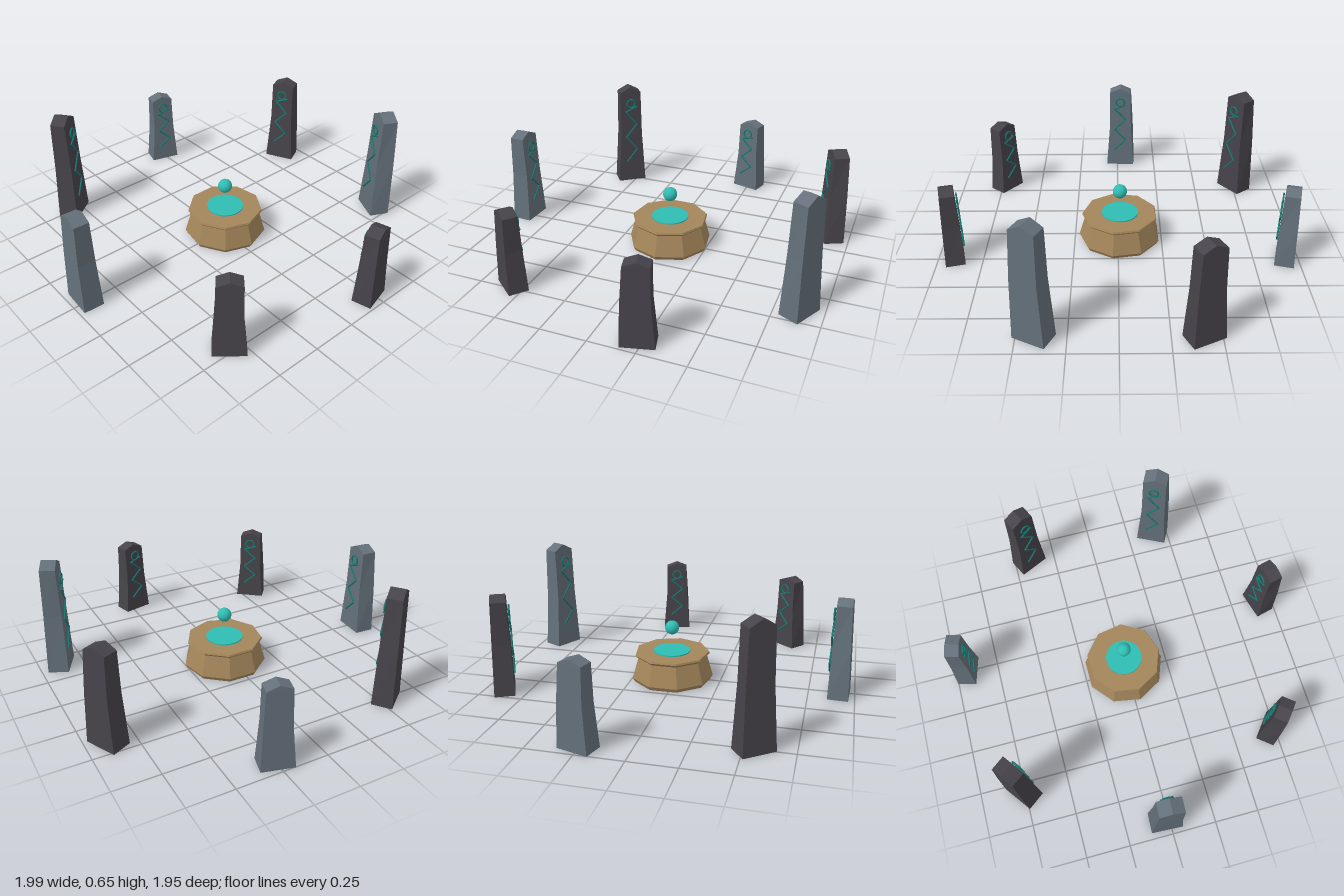
import * as THREE from 'three';

const CX = -0.01, CZ = -0.03, RING = 0.945;
const flat = (color) => new THREE.MeshStandardMaterial({ color, flatShading: true });
const slate = flat(0x64707a), basalt = flat(0x46434a), sandstone = flat(0xa3855a);
const teal = new THREE.MeshStandardMaterial({ color: 0x2fbdb4 });
const darkTeal = new THREE.MeshStandardMaterial({ color: 0x167a72 });

function add(parent, name, geometry, material, x = 0, y = 0, z = 0) {
  const mesh = new THREE.Mesh(geometry, material);
  mesh.name = name;
  mesh.position.set(x, y, z);
  parent.add(mesh);
  return mesh;
}

// Roughly hewn slab: four-cornered sections and a ridge from front to back
function stoneGeometry(h, w, d) {
  const a = w / 2, b = d / 2;
  // corners of each section: inner left, inner right, outer right, outer left
  const section = (y, sx, sz) => [[-1, 1], [1, 1], [1, -1], [-1, -1]]
    .map(([x, z], i) => [x * a * sx[i], y, z * b * sz]);
  const points = [
    ...section(0, [1, 1, 1, 1], 1),
    ...section(h * 0.52, [0.76, 0.79, 0.9, 0.77], 0.87),
    ...section(h * 0.945, [0.75, 0.75, 0.75, 0.75], 0.74),
    [0, h, b * 0.72], [0, h, -b * 0.72],
  ];
  const index = [0, 3, 2, 0, 2, 1];
  for (let k = 0; k < 8; k += 4) {
    for (let i = 0; i < 4; i++) {
      const p = k + i, q = k + (i + 1) % 4;
      index.push(p, q, q + 4, p, q + 4, p + 4);
    }
  }
  // sloping cap
  index.push(8, 9, 12, 9, 10, 13, 9, 13, 12, 10, 11, 13, 11, 8, 12, 11, 12, 13);
  const g = new THREE.BufferGeometry();
  g.setAttribute('position', new THREE.Float32BufferAttribute(points.flat(), 3));
  g.setIndex(index);
  const out = g.toNonIndexed();
  out.computeVertexNormals();
  return out;
}

// Zigzag of thin rods with a ring on top, on the inner face
function addRune(parent, h, d) {
  const rune = new THREE.Group();
  rune.name = 'rune';
  const faceZ = (t) => d * (0.56 - 0.1 * t);
  const path = new THREE.CurvePath();
  const pts = [0.21, 0.345, 0.48, 0.615, 0.75, 0.8].map((t, i) =>
    new THREE.Vector3((i % 2 ? 1 : -1) * 0.036, h * t, faceZ(t)));
  for (let i = 1; i < pts.length; i++) path.add(new THREE.LineCurve3(pts[i - 1], pts[i]));
  for (const c of path.curves) add(rune, 'runeStroke', new THREE.TubeGeometry(c, 1, 0.005, 6), darkTeal);
  for (const p of pts) add(rune, 'runeJoint', new THREE.SphereGeometry(0.005, 6, 4), darkTeal, p.x, p.y, p.z);
  add(rune, 'runeRing', new THREE.TorusGeometry(0.027, 0.005, 6, 20), darkTeal, 0, h * 0.835, faceZ(0.835));
  parent.add(rune);
}

export function createModel() {
  const model = new THREE.Group();
  model.name = 'stoneCircle';

  // Nine-sided altar with a flared lip
  const profile = [[0, 0], [0.222, 0], [0.234, 0.022], [0.2, 0.14], [0.216, 0.155], [0.212, 0.165], [0, 0.165]]
    .map(([r, y]) => new THREE.Vector2(r, y));
  add(model, 'altar', new THREE.LatheGeometry(profile, 9, Math.PI / 18), sandstone, CX, 0, CZ);
  add(model, 'altarDisc', new THREE.CylinderGeometry(0.104, 0.104, 0.012, 40), teal, CX, 0.166, CZ);
  add(model, 'floatingOrb', new THREE.SphereGeometry(0.04, 24, 16), teal, CX, 0.305, CZ);

  // Standing stones: height, width, depth, bearing in degrees, material
  const stones = [
    [0.55, 0.18, 0.112, -3, slate],
    [0.45, 0.172, 0.107, 51, basalt],
    [0.45, 0.172, 0.107, 104.5, basalt],
    [0.655, 0.18, 0.115, 153.4, slate],
    [0.555, 0.18, 0.112, 206, basalt],
    [0.455, 0.172, 0.107, 254.5, slate],
    [0.655, 0.18, 0.113, 307, basalt],
  ];
  stones.forEach(([h, w, d, bearing, material], i) => {
    const angle = THREE.MathUtils.degToRad(-0.7 + i * 360 / 7);
    const stone = new THREE.Group();
    stone.name = 'standingStone' + (i + 1);
    stone.position.set(CX + RING * Math.sin(angle), 0, CZ + RING * Math.cos(angle));
    stone.rotation.y = THREE.MathUtils.degToRad(bearing + 180);
    add(stone, 'slab', stoneGeometry(h, w, d), material);
    addRune(stone, h, d);
    model.add(stone);
  });
  return model;
}
